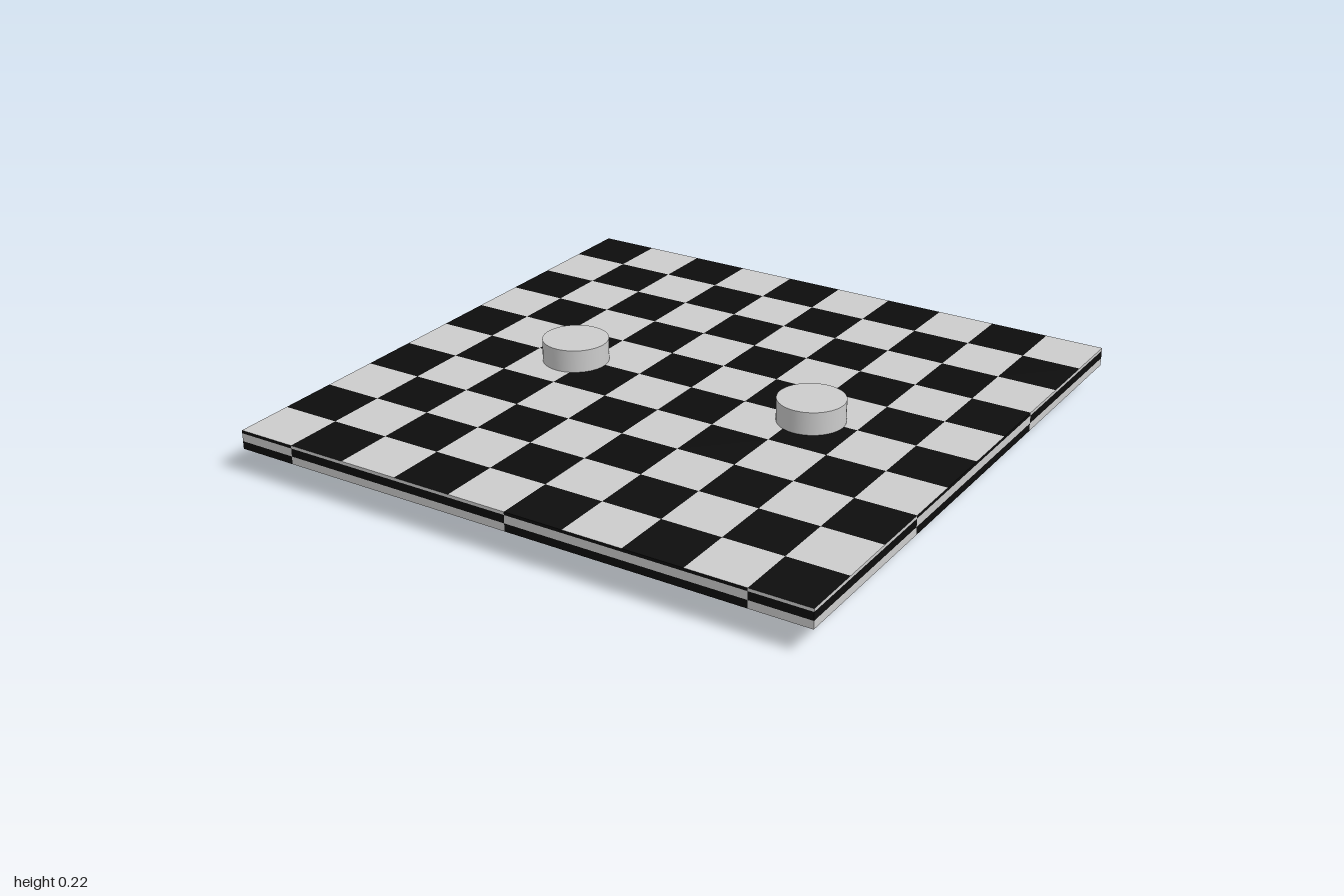
import * as THREE from 'three';
import { mergeGeometries } from 'three/addons/utils/BufferGeometryUtils.js';

const BOTTOM = 0.083, TOP = 0.146;

// Checkered panel in its own xy plane, facing +z: returns [light, dark] geometries.
// xs and ys are the cell borders; parity 1 makes the first cell dark.
function checker(xs, ys, parity, transform) {
  const sets = [[], []];
  for (let i = 0; i < xs.length - 1; i++) {
    for (let j = 0; j < ys.length - 1; j++) {
      const cell = new THREE.PlaneGeometry(xs[i + 1] - xs[i], ys[j + 1] - ys[j]);
      cell.translate((xs[i] + xs[i + 1]) / 2, (ys[j] + ys[j + 1]) / 2, 0);
      sets[(i + j + parity) % 2].push(cell);
    }
  }
  return sets.map((cells) => transform(mergeGeometries(cells)));
}

export function createModel() {
  const light = new THREE.MeshStandardMaterial({ color: 0xcccccc });
  light.name = 'lightGrey';
  const dark = new THREE.MeshStandardMaterial({ color: 0x0d0d0d });
  dark.name = 'black';

  const model = new THREE.Group();
  model.name = 'checkeredBoard';

  // Board: ten by ten squares above and below, three uneven rows round the rim
  const squares = Array.from({ length: 11 }, (_, i) => -1 + i * 0.2);
  const rows = [BOTTOM, 0.109, 0.136, TOP];
  const longCells = [-1, -0.8, 0, 0.8, 1];
  const sideCells = [-1, -0.4, 0.4, 1];
  const panels = {
    top: checker(squares, squares, 0, (g) => g.rotateX(-Math.PI / 2).translate(0, TOP, 0)),
    underside: checker(squares, squares, 1, (g) => g.rotateX(Math.PI / 2).translate(0, BOTTOM, 0)),
  };
  ['front', 'right', 'back', 'left'].forEach((name, k) => {
    const isLong = k % 2 === 0;
    panels[name + 'Edge'] = checker(isLong ? longCells : sideCells, rows, isLong ? 1 : 0,
      (g) => g.translate(0, 0, 1).rotateY(k * Math.PI / 2));
  });
  for (const [name, [lightCells, darkCells]] of Object.entries(panels)) {
    const panel = new THREE.Group();
    panel.name = name;
    const a = new THREE.Mesh(lightCells, light);
    a.name = name + 'LightSquares';
    const b = new THREE.Mesh(darkCells, dark);
    b.name = name + 'DarkSquares';
    panel.add(a, b);
    model.add(panel);
  }

  // Round pegs passing through the board
  for (const side of [-1, 1]) {
    const peg = new THREE.Mesh(new THREE.CylinderGeometry(0.11, 0.11, 0.222, 48), light);
    peg.name = side > 0 ? 'leftPeg' : 'rightPeg';
    peg.position.set(side * 0.444, 0.111, 0.01);
    model.add(peg);
  }
  return model;
}
